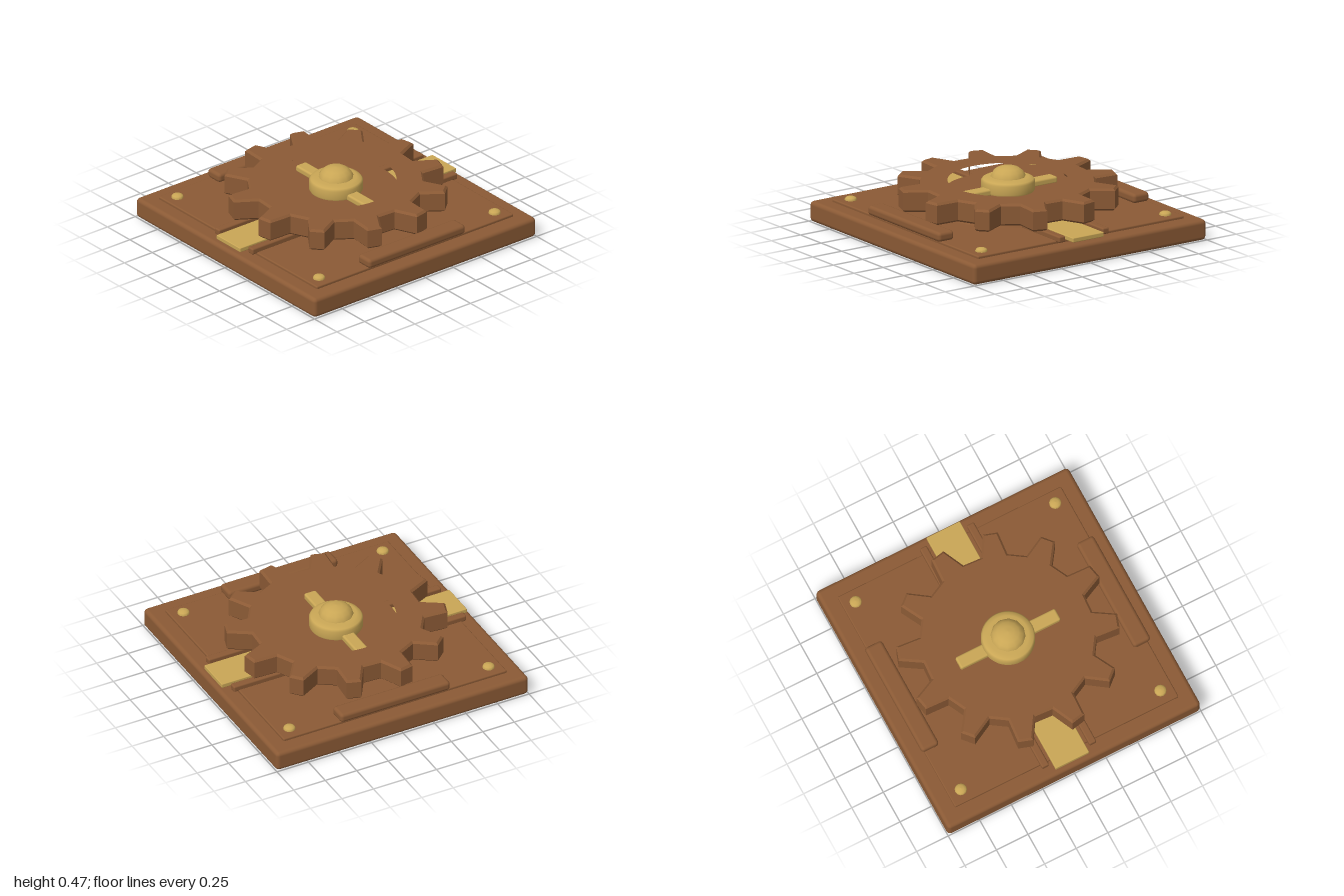
import * as THREE from 'three';
import { RoundedBoxGeometry } from 'three/addons/geometries/RoundedBoxGeometry.js';

const wood = new THREE.MeshStandardMaterial({ color: 0x8b5a35 });
wood.name = 'brown';
const brass = new THREE.MeshStandardMaterial({ color: 0xc9a655 });
brass.name = 'brass';

export function createModel() {
  const model = new THREE.Group();
  model.name = 'gearPlate';

  const add = (name, geometry, material, x = 0, y = 0, z = 0) => {
    const mesh = new THREE.Mesh(geometry, material);
    mesh.name = name;
    mesh.position.set(x, y, z);
    model.add(mesh);
    return mesh;
  };
  // Box with softened edges, placed by its bottom and top heights
  const slab = (name, w, d, y0, y1, r, material, x = 0, z = 0) =>
    add(name, new RoundedBoxGeometry(w, y1 - y0, d, 2, r), material, x, (y0 + y1) / 2, z);
  // Turned part from [radius, height] points, bottom to top
  const turned = (name, points, sides, material, x = 0, z = 0) =>
    add(name, new THREE.LatheGeometry(points.map(p => new THREE.Vector2(...p)), sides), material, x, 0, z);

  // Base and raised panel
  slab('base', 2, 2, 0, 0.15, 0.03, wood);
  slab('panel', 1.77, 1.77, 0.13, 0.17, 0.01, wood);

  // Side rails
  for (const s of [-1, 1]) slab(s > 0 ? 'leftRail' : 'rightRail', 0.135, 0.87, 0.165, 0.235, 0.025, wood, s * 0.838, -0.005);

  // Brass slide with guides, front and back
  slab('brassSlide', 0.265, 1.945, 0.163, 0.197, 0.006, brass, 0, -0.003);
  for (const sx of [-1, 1])
    for (const sz of [-1, 1])
      slab('slideGuide', 0.056, 0.5, 0.16, 0.207, 0.012, wood, sx * 0.187, sz * 0.673);

  // Corner studs
  for (const sx of [-1, 1])
    for (const sz of [-1, 1])
      turned('stud', [[0.043, 0.165], [0.043, 0.178], [0.037, 0.188], [0.022, 0.195], [0, 0.198]], 12, brass, sx * 0.79, sz * 0.79);

  // Gear ring: twelve tapered teeth around a round opening
  const TEETH = 12, OFFSET = 18.7, bevel = 0.015;
  const outline = [];
  for (let i = 0; i < TEETH; i++) {
    for (const [da, r] of [[-8.8, 0.62], [-3.9, 0.785], [3.9, 0.785], [8.8, 0.62]]) {
      const a = THREE.MathUtils.degToRad(OFFSET + i * 360 / TEETH + da);
      outline.push(new THREE.Vector2(Math.sin(a) * r, Math.cos(a) * r));
    }
  }
  const gearShape = new THREE.Shape(outline);
  const opening = new THREE.Path();
  opening.absarc(0, 0, 0.44, 0, Math.PI * 2, true);
  gearShape.holes.push(opening);
  const gear = new THREE.ExtrudeGeometry(gearShape, {
    depth: 0.16 - 2 * bevel, curveSegments: 32,
    bevelEnabled: true, bevelThickness: bevel, bevelSize: bevel, bevelOffset: -bevel, bevelSegments: 1,
  });
  gear.rotateX(-Math.PI / 2);
  add('gear', gear, wood, 0, 0.21 + bevel, 0);

  // Bearing below the gear and the floor of its recess
  add('bearing', new THREE.CylinderGeometry(0.5, 0.525, 0.045, 48), wood, 0, 0.1895, 0);
  add('recessFloor', new THREE.CylinderGeometry(0.445, 0.445, 0.09, 64), wood, 0, 0.253, 0);

  // Cross bar, hub and domed cap
  slab('crossBar', 0.79, 0.095, 0.29, 0.34, 0.015, brass);
  turned('hub', [[0.18, 0.29], [0.19, 0.31], [0.19, 0.37], [0.178, 0.385], [0.145, 0.4], [0, 0.4]], 48, brass);
  turned('cap', [[0.125, 0.39], [0.122, 0.408], [0.106, 0.437], [0.078, 0.458], [0.042, 0.47], [0, 0.474]], 12, brass);

  return model;
}
